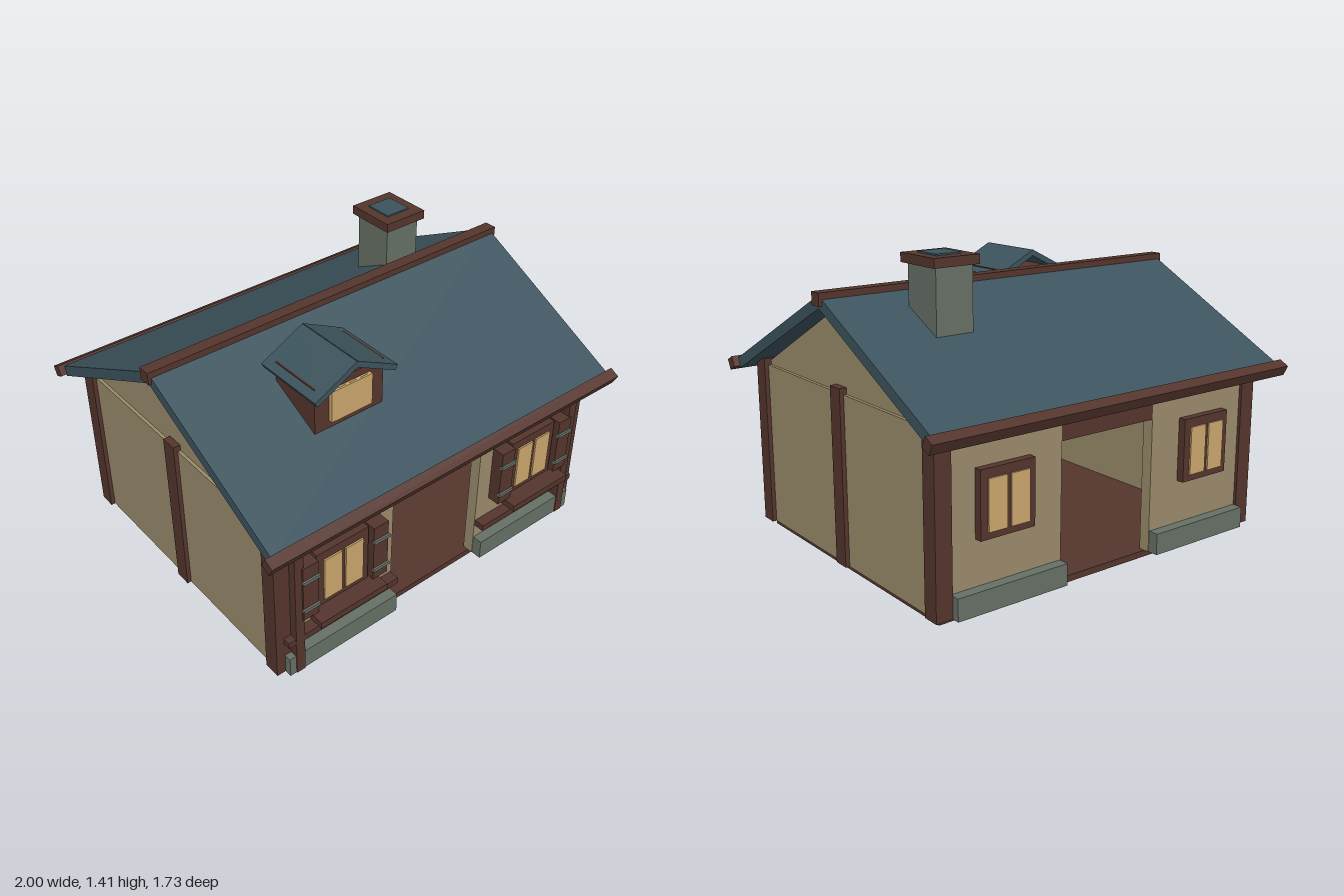
import * as THREE from 'three';

const mat = (name, color) => {
  const m = new THREE.MeshStandardMaterial({ color });
  m.name = name;
  return m;
};

export function createModel() {
  const house = new THREE.Group();
  house.name = 'cottage';
  const plaster = mat('plaster', 0x9a8b6b);
  const timber = mat('timber', 0x54352d);
  const slate = mat('slate', 0x3c535d);
  const stone = mat('stone', 0x667066);
  const glass = mat('warm glass', 0xcba66d);

  // Box given by its minimum and maximum on each axis
  function box(name, m, x0, x1, y0, y1, z0, z1, parent = house) {
    const mesh = new THREE.Mesh(new THREE.BoxGeometry(x1 - x0, y1 - y0, z1 - z0), m);
    mesh.position.set((x0 + x1) / 2, (y0 + y1) / 2, (z0 + z1) / 2);
    mesh.name = name;
    parent.add(mesh);
    return mesh;
  }
  // The same box on the other side of x = 0 as well
  function pair(name, m, x0, x1, y0, y1, z0, z1) {
    box(name, m, x0, x1, y0, y1, z0, z1);
    box(name, m, -x1, -x0, y0, y1, z0, z1);
  }
  // Outline in (z, y), extruded along x
  function prism(name, m, points, x0, x1) {
    const shape = new THREE.Shape(points.map(([z, y]) => new THREE.Vector2(-z, y)));
    const geo = new THREE.ExtrudeGeometry(shape, { depth: x1 - x0, bevelEnabled: false });
    geo.rotateY(Math.PI / 2);
    geo.translate(x0, 0, 0);
    const mesh = new THREE.Mesh(geo, m);
    mesh.name = name;
    house.add(mesh);
  }

  // Floor, side walls and gables
  box('floor', timber, -0.87, 0.87, 0, 0.03, -0.7, 0.7);
  pair('sideWall', plaster, 0.83, 0.89, 0.03, 0.81, -0.7, 0.7);
  for (const x of [-0.875, 0.835]) {
    prism('gable', plaster, [[-0.7, 0.81], [0.7, 0.81], [0, 1.185]], x, x + 0.04);
  }

  // Corner and middle posts
  for (const z of [-0.7, 0, 0.7]) {
    pair('post', timber, 0.83, 0.91, 0.03, 0.84, z - 0.04, z + 0.04);
  }

  // Front and back walls with an open doorway
  for (const s of [-1, 1]) {
    const span = (a, b) => (s > 0 ? [a, b] : [-b, -a]);
    pair('wall', plaster, 0.262, 0.85, 0.03, 0.81, ...span(0.67, 0.725));
    pair('plinth', stone, 0.265, s > 0 ? 0.866 : 0.83, 0.03, 0.13, ...span(0.7, 0.775));
    box('doorHeader', timber, -0.262, 0.262, 0.655, 0.81, ...span(0.67, 0.725));
  }

  // Front trim
  pair('frontPost', timber, 0.788, 0.833, 0.03, 0.83, 0.7, 0.779);
  pair('rail', timber, 0.265, 0.87, 0.205, 0.236, 0.7, 0.777);

  // Window: a frame with two panes and a mullion between them
  function makeWindow(x, side) {
    const w = new THREE.Group();
    w.name = side > 0 ? 'frontWindow' : 'backWindow';
    w.position.x = x;
    if (side < 0) w.rotation.y = Math.PI;
    house.add(w);
    box('frame', timber, -0.138, 0.138, 0.335, 0.632, 0.7, 0.762, w);
    for (const c of [-0.057, 0.057]) {
      box('pane', glass, c - 0.047, c + 0.047, 0.367, 0.592, 0.764, 0.772, w);
    }
    if (side < 0) return;
    // Front windows also carry a sill and hinged shutters
    box('sill', timber, -0.18, 0.18, 0.303, 0.336, 0.7, 0.845, w);
    for (const d of [-1, 1]) {
      const c = d * 0.188;
      box('shutter', timber, c - 0.04, c + 0.04, 0.335, 0.63, 0.72, 0.787, w);
      for (const y of [0.393, 0.553]) {
        box('hinge', stone, c - 0.043, c + 0.043, y - 0.008, y + 0.008, 0.78, 0.797, w);
      }
    }
  }
  for (const side of [-1, 1]) for (const x of [-0.57, 0.57]) makeWindow(x, side);

  // Main roof, ridge beam and eaves boards
  prism('roof', slate, [
    [0, 1.24], [-0.824, 0.823], [-0.8, 0.779], [0, 1.184], [0.8, 0.779], [0.824, 0.823],
  ], -0.97, 0.97);
  box('ridgeBeam', timber, -0.985, 0.985, 1.196, 1.254, -0.03, 0.03);
  for (const s of [-1, 1]) {
    const board = box('eavesBoard', timber, -1, 1, 0.777, 0.829, s * 0.83 - 0.026, s * 0.83 + 0.026);
    board.rotation.x = s * 0.47;
  }

  // Dormer
  const dormer = new THREE.Group();
  dormer.name = 'dormer';
  dormer.position.x = -0.32;
  house.add(dormer);
  box('dormerBody', timber, -0.182, 0.182, 0.99, 1.215, 0.235, 0.495, dormer);
  box('dormerPane', glass, -0.108, 0.108, 1.027, 1.18, 0.506, 0.515, dormer);
  box('dormerPaneBack', glass, -0.108, 0.108, 1.027, 1.18, 0.496, 0.505, dormer);
  for (const s of [-1, 1]) {
    const slab = box('dormerRoof', slate, -0.121, 0.121, -0.0135, 0.0135, 0.185, 0.545, dormer);
    slab.position.set(s * 0.104, 1.235, 0.365);
    slab.rotation.z = -s * 0.47;
  }

  // Chimney
  box('chimneyShaft', stone, 0.425, 0.612, 1.02, 1.36, -0.335, -0.13);
  box('chimneyCap', timber, 0.405, 0.635, 1.36, 1.402, -0.357, -0.108);
  box('flue', slate, 0.455, 0.585, 1.4, 1.409, -0.3, -0.165);

  return house;
}
